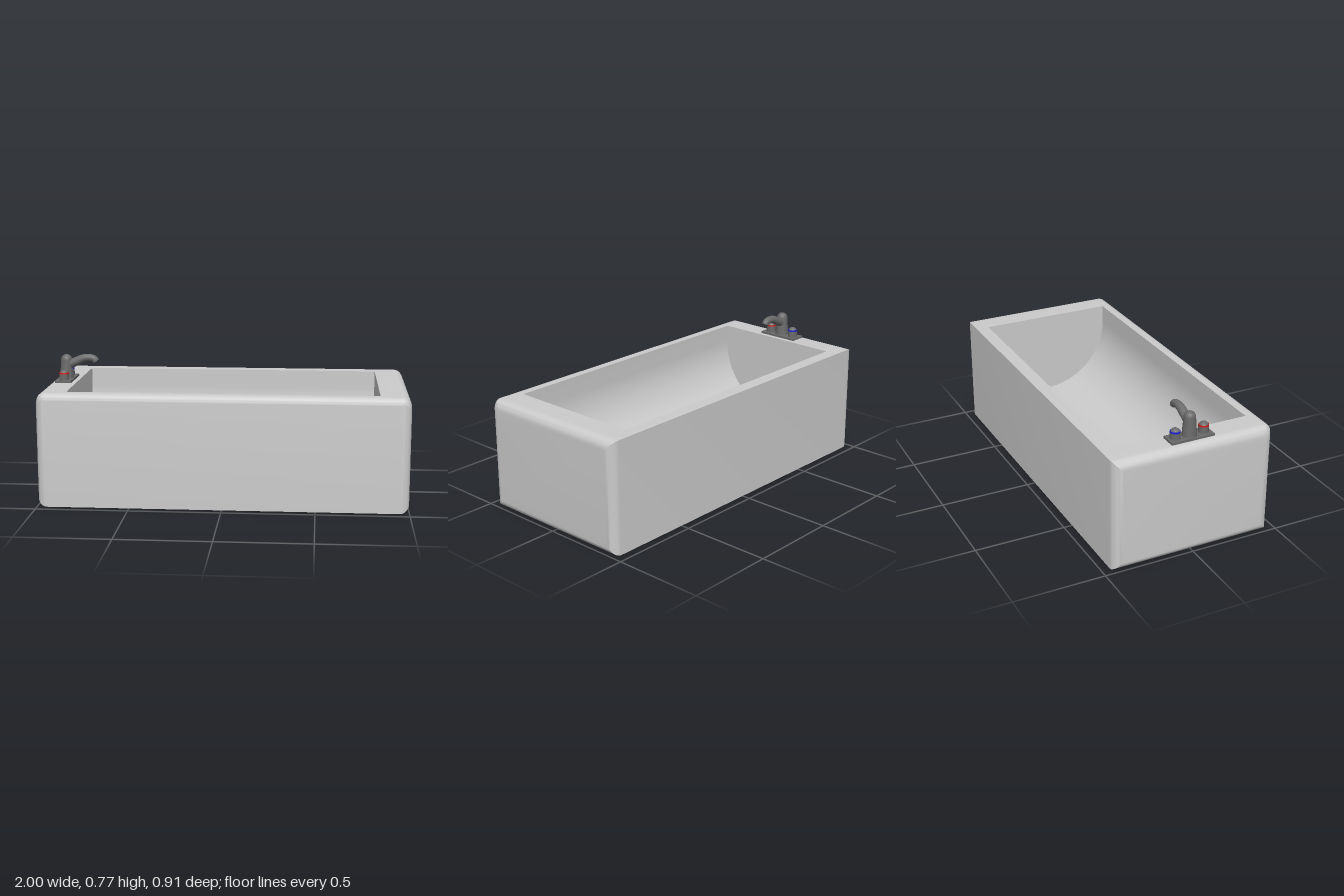
import * as THREE from 'three';
import { mergeGeometries, toCreasedNormals } from 'three/addons/utils/BufferGeometryUtils.js';

const grey = new THREE.MeshStandardMaterial({ color: 0xcccccc });
const greyOpen = new THREE.MeshStandardMaterial({ color: 0xcccccc, side: THREE.DoubleSide });
const metal = new THREE.MeshStandardMaterial({ color: 0x6a6a6a });
const red = new THREE.MeshStandardMaterial({ color: 0xd01818 });
const blue = new THREE.MeshStandardMaterial({ color: 0x1818d0 });

const H = 0.621, D = 0.453, R = 0.052, LIP = 0.038;
const BASIN = { x0: -0.838, x1: 0.835, z: 0, r: 0.38, straight: 0.1 };

function add(parent, name, geometry, material, x = 0, y = 0, z = 0) {
  const mesh = new THREE.Mesh(geometry, material);
  mesh.name = name;
  mesh.position.set(x, y, z);
  parent.add(mesh);
  return mesh;
}

// Cross-section [z, y] of the tub, inset by i; starts at the back top corner
function section(i) {
  const pts = [[-D + i, H - i], [-D + i, i], [D - i, i]];
  for (let k = 0; k <= 8; k++) {
    const a = (k / 8) * Math.PI / 2;
    pts.push([D - i - LIP + LIP * Math.cos(a), H - i - LIP + LIP * Math.sin(a)]);
  }
  return pts;
}

// Flat rim with the basin opening
function rimGeometry() {
  const x = 1 - R, rect = (x0, x1, z0, z1) =>
    [[x0, -z1], [x1, -z1], [x1, -z0], [x0, -z0]].map(p => new THREE.Vector2(...p));
  const shape = new THREE.Shape(rect(-x, x, -D, D - LIP));
  const { x0, x1, z, r } = BASIN;
  shape.holes.push(new THREE.Path(rect(x0, x1, z - r, z + r)));
  const g = new THREE.ShapeGeometry(shape).rotateX(-Math.PI / 2).translate(0, H, 0);
  g.deleteAttribute('uv');
  g.deleteAttribute('normal');
  return g;
}

// Outer shell: sections lofted along x, shrinking in a quarter round at both ends
function shellGeometry() {
  const rings = [], n = 10;
  for (let k = 0; k <= n; k++) {
    const a = (k / n) * Math.PI / 2;
    rings.push({ x: -1 + R - R * Math.cos(a), i: R - R * Math.sin(a) });
  }
  for (let k = n; k >= 0; k--) rings.push({ x: -rings[k].x, i: rings[k].i });
  const pos = [], index = [], m = section(0).length;
  for (const { x, i } of rings) for (const [z, y] of section(i)) pos.push(x, y, z);
  for (let s = 0; s < rings.length - 1; s++) {
    for (let j = 0; j < m; j++) {
      if (s === n && j === m - 1) continue; // left open for the rim
      const a = s * m + j, b = s * m + (j + 1) % m, c = a + m, d = b + m;
      index.push(a, c, b, b, c, d);
    }
  }
  // flat end faces
  const last = (rings.length - 1) * m;
  for (let j = 1; j < m - 1; j++) {
    index.push(0, j, j + 1, last, last + j + 1, last + j);
  }
  const g = new THREE.BufferGeometry();
  g.setAttribute('position', new THREE.Float32BufferAttribute(pos, 3));
  g.setIndex(index);
  return toCreasedNormals(mergeGeometries([g.toNonIndexed(), rimGeometry().toNonIndexed()]), 0.5);
}

// Basin profile [z, y]: short upright walls and a half-round floor
function basinProfile() {
  const { z, r, straight } = BASIN, pts = [[z - r, H]];
  for (let k = 0; k <= 40; k++) {
    const a = (k / 40) * Math.PI;
    pts.push([z - r * Math.cos(a), H - straight - r * Math.sin(a)]);
  }
  pts.push([z + r, H]);
  return pts;
}

function troughGeometry() {
  const pos = [], index = [], profile = basinProfile();
  profile.forEach(([z, y], j) => {
    pos.push(BASIN.x0, y, z, BASIN.x1, y, z);
    const a = 2 * j;
    if (j < profile.length - 1) index.push(a, a + 2, a + 1, a + 1, a + 2, a + 3);
  });
  const g = new THREE.BufferGeometry();
  g.setAttribute('position', new THREE.Float32BufferAttribute(pos, 3));
  g.setIndex(index);
  g.computeVertexNormals();
  return g;
}

// Spout: a tube along an arched path, narrowing toward the tip
function spoutGeometry(curve) {
  const g = new THREE.TubeGeometry(curve, 32, 0.027, 20);
  const p = g.attributes.position, v = new THREE.Vector3();
  for (let i = 0; i < p.count; i++) {
    const u = Math.floor(i / 21) / 32, c = curve.getPointAt(u);
    v.fromBufferAttribute(p, i).sub(c).multiplyScalar(1 - 0.3 * u).add(c);
    p.setXYZ(i, v.x, v.y, v.z);
  }
  return g;
}

// Turned part with a rounded top
function domedPost(r0, r1, height) {
  const pts = [new THREE.Vector2(r0, 0)];
  for (let k = 0; k <= 12; k++) {
    const a = (k / 12) * Math.PI / 2;
    pts.push(new THREE.Vector2(k === 12 ? 0 : r1 * Math.cos(a), height - r1 + r1 * Math.sin(a)));
  }
  return new THREE.LatheGeometry(pts, 32);
}

function createFaucet() {
  const faucet = new THREE.Group();
  faucet.name = 'faucet';
  faucet.position.set(-0.909, H, 0.008);
  add(faucet, 'faucetPlate', new THREE.BoxGeometry(0.09, 0.012, 0.243), metal, 0, 0.006, 0);
  add(faucet, 'faucetBody', domedPost(0.039, 0.031, 0.133), metal, 0, 0.011, 0);

  const path = new THREE.CatmullRomCurve3([
    [0, 0.078], [0.05, 0.102], [0.1, 0.123], [0.138, 0.125], [0.159, 0.117], [0.167, 0.105],
  ].map(([x, y]) => new THREE.Vector3(x, y, 0)));
  const spout = add(faucet, 'spout', spoutGeometry(path), metal);
  const tip = add(spout, 'spoutTip', new THREE.CircleGeometry(0.019, 20), metal);
  tip.position.copy(path.getPointAt(1));
  tip.quaternion.setFromUnitVectors(new THREE.Vector3(0, 0, 1), path.getTangentAt(1));

  for (const [name, side, color] of [['hot', 1, red], ['cold', -1, blue]]) {
    const knob = new THREE.Group();
    knob.name = name + 'Knob';
    knob.position.set(0, 0.011, side * 0.081);
    add(knob, name + 'Handle', domedPost(0.027, 0.027, 0.058), metal);
    add(knob, name + 'Band', new THREE.CylinderGeometry(0.0265, 0.0275, 0.008, 32), color, 0, 0.039, 0);
    faucet.add(knob);
  }
  return faucet;
}

export function createModel() {
  const model = new THREE.Group();
  model.name = 'bathtub';
  add(model, 'tubShell', shellGeometry(), grey);
  add(model, 'basinTrough', troughGeometry(), greyOpen);

  // upright basin end walls
  const wall = new THREE.Shape(basinProfile().map(([z, y]) => new THREE.Vector2(-z, y)));
  const wallGeometry = new THREE.ShapeGeometry(wall).rotateY(Math.PI / 2);
  add(model, 'basinEndRight', wallGeometry, greyOpen, BASIN.x0, 0, 0);
  add(model, 'basinEndLeft', wallGeometry, greyOpen, BASIN.x1, 0, 0);

  model.add(createFaucet());
  return model;
}
